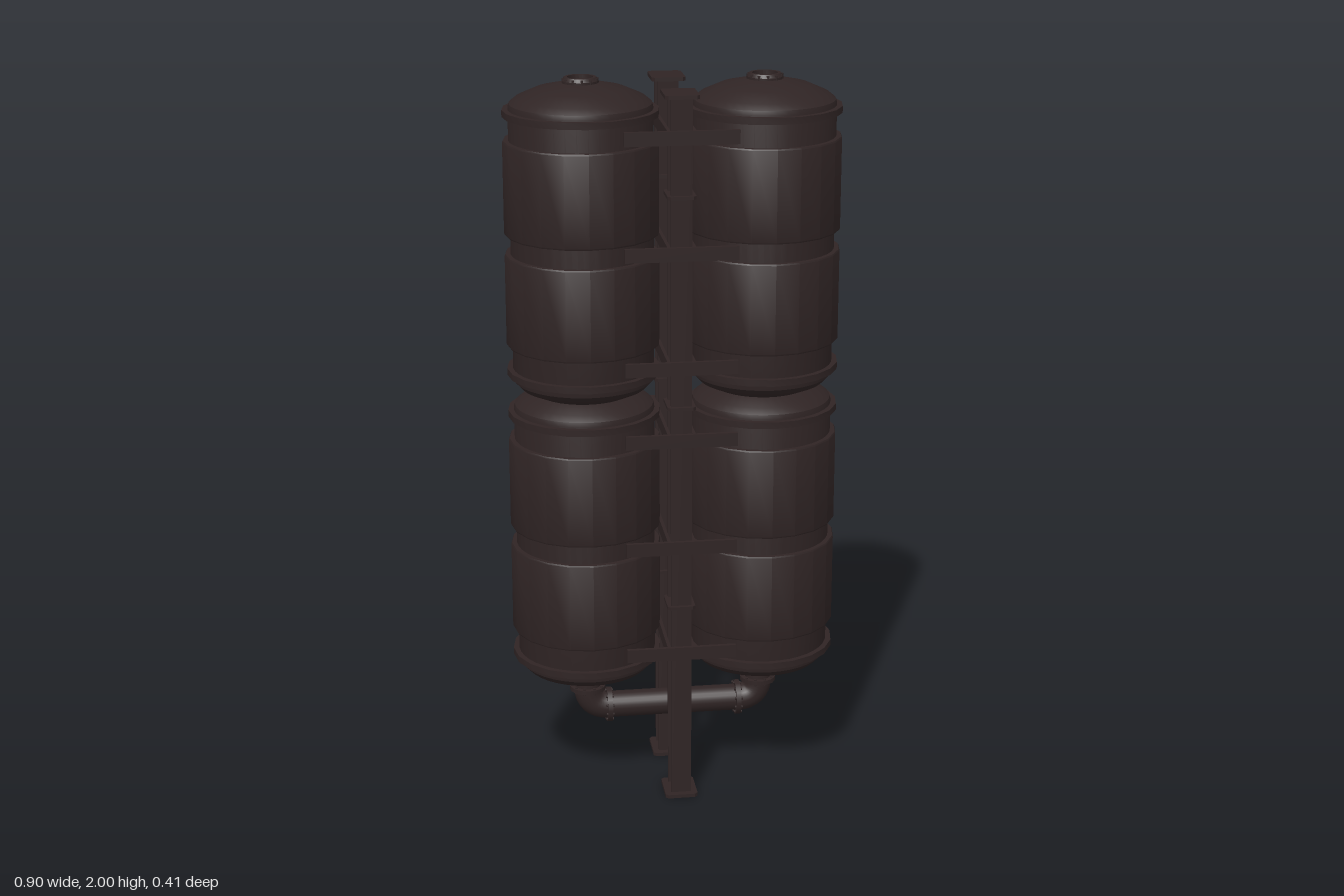
import * as THREE from 'three';
import { toCreasedNormals } from 'three/addons/utils/BufferGeometryUtils.js';

const steel = new THREE.MeshStandardMaterial({ color: 0x2f2424 });
steel.name = 'dark brown steel';

function add(parent, name, geometry, x = 0, y = 0, z = 0) {
  const mesh = new THREE.Mesh(geometry, steel);
  mesh.name = name;
  mesh.position.set(x, y, z);
  parent.add(mesh);
  return mesh;
}

function lathe(points, sides) {
  const profile = points.map(([r, y]) => new THREE.Vector2(r, y));
  return toCreasedNormals(new THREE.LatheGeometry(profile, sides), 0.5);
}

const box = (w, h, d) => new THREE.BoxGeometry(w, h, d);

// Flat plate with clipped corners, lying in the xz plane
function plate(w, d, h, c = 0.008) {
  const a = w / 2, b = d / 2;
  const shape = new THREE.Shape([
    [-a + c, -b], [a - c, -b], [a, -b + c], [a, b - c],
    [a - c, b], [-a + c, b], [-a, b - c], [-a, -b + c],
  ].map(([x, y]) => new THREE.Vector2(x, y)));
  return new THREE.ExtrudeGeometry(shape, { depth: h, bevelEnabled: false }).rotateX(-Math.PI / 2);
}

// Bolted flange around the y axis
function flange(name, radius, height, bolts) {
  const group = new THREE.Group();
  group.name = name;
  add(group, 'flangeDisc', new THREE.CylinderGeometry(radius, radius, height, 20));
  for (let i = 0; i < bolts; i++) {
    const a = (i / bolts) * Math.PI * 2, r = radius - 0.006;
    add(group, 'bolt', new THREE.CylinderGeometry(0.004, 0.004, height + 0.008, 6), r * Math.cos(a), 0, r * Math.sin(a));
  }
  return group;
}

// One tank; heights are those of the lower row
function makeTank() {
  const tank = new THREE.Group();
  tank.name = 'tank';
  add(tank, 'tankShell', lathe([
    [0, 0.312], [0.07, 0.317], [0.13, 0.332], [0.17, 0.35], [0.187, 0.368], [0.19, 0.385],
    [0.19, 1.105], [0.187, 1.116], [0.17, 1.13], [0.12, 1.152], [0.05, 1.168], [0, 1.17],
  ], 40));
  // Wide jackets
  for (const [y0, y1] of [[0.468, 0.717], [0.77, 1.02]]) {
    add(tank, 'jacket', lathe([
      [0.188, y0], [0.204, y0], [0.206, y0 + 0.004], [0.206, y1 - 0.004], [0.204, y1], [0.188, y1],
    ], 20));
  }
  // End rims
  for (const y of [0.394, 1.092]) {
    add(tank, 'rim', lathe([[0.185, y - 0.009], [0.206, y - 0.009], [0.206, y + 0.009], [0.185, y + 0.009]], 20));
  }
  // Filler collar with recessed lid
  add(tank, 'collar', lathe([
    [0.048, 1.158], [0.048, 1.174], [0.042, 1.183], [0.034, 1.183], [0.034, 1.173], [0, 1.173],
  ], 24));
  for (let i = 0; i < 12; i++) {
    const a = (i / 12) * Math.PI * 2;
    add(tank, 'collarBolt', new THREE.CylinderGeometry(0.004, 0.004, 0.012, 6), 0.045 * Math.cos(a), 1.174, 0.045 * Math.sin(a));
  }
  return tank;
}

// H-section column with plates
function makeColumn(z) {
  const column = new THREE.Group();
  column.name = 'column';
  column.position.z = z;
  for (const s of [-1, 1]) add(column, 'columnFlange', box(0.056, 1.97, 0.01), 0, 0.985, s * 0.032);
  add(column, 'columnWeb', box(0.016, 1.97, 0.06), 0, 0.985, 0);
  add(column, 'basePlate', plate(0.09, 0.11, 0.01), 0, 0, 0);
  add(column, 'topPlate', plate(0.09, 0.11, 0.01), 0, 1.967, 0);
  for (const y of [0.57, 1.14, 1.71]) add(column, 'stiffenerPlate', plate(0.076, 0.096, 0.009), 0, y - 0.0045, 0);
  return column;
}

// Pipe joining the two lower tanks
function makePipe() {
  const pipe = new THREE.Group();
  pipe.name = 'connectingPipe';
  const y = 0.213, bend = 0.06, x = 0.243;
  add(pipe, 'straightPipe', new THREE.CylinderGeometry(0.037, 0.037, 0.37, 24).rotateZ(Math.PI / 2), 0, y, 0);
  for (const s of [-1, 1]) {
    const curve = new THREE.QuadraticBezierCurve3(
      new THREE.Vector3(s * (x - bend), y, 0),
      new THREE.Vector3(s * x, y, 0),
      new THREE.Vector3(s * x, y + bend, 0));
    add(pipe, 'elbow', new THREE.TubeGeometry(curve, 10, 0.039, 20));
    add(pipe, 'riser', new THREE.CylinderGeometry(0.037, 0.037, 0.07, 24), s * x, 0.3, 0);
    const upper = flange('riserFlange', 0.05, 0.012, 10);
    upper.position.set(s * x, 0.272, 0);
    pipe.add(upper);
  }
  for (const fx of [-0.183, 0, 0.183]) {
    const ring = flange('pipeFlange', 0.049, 0.014, 10);
    ring.rotation.z = Math.PI / 2;
    ring.position.set(fx, y, 0);
    pipe.add(ring);
  }
  return pipe;
}

export function createModel() {
  const model = new THREE.Group();
  model.name = 'tankRack';

  for (const x of [-0.243, 0.243]) {
    for (const lift of [0, 0.816]) {
      const tank = makeTank();
      tank.position.set(x, lift, 0);
      model.add(tank);
    }
  }

  for (const z of [-0.133, 0.133]) model.add(makeColumn(z));

  // Straps from columns to tanks, and side bars between the columns
  for (const y of [0.435, 0.745, 1.05, 1.251, 1.561, 1.866]) {
    for (const s of [-1, 1]) {
      add(model, 'tankStrap', box(0.3, 0.037, 0.011), 0, y, s * 0.175);
      add(model, 'sideBar', box(0.009, 0.037, 0.34), s * 0.0335, y, 0);
    }
  }

  model.add(makePipe());
  return model;
}
